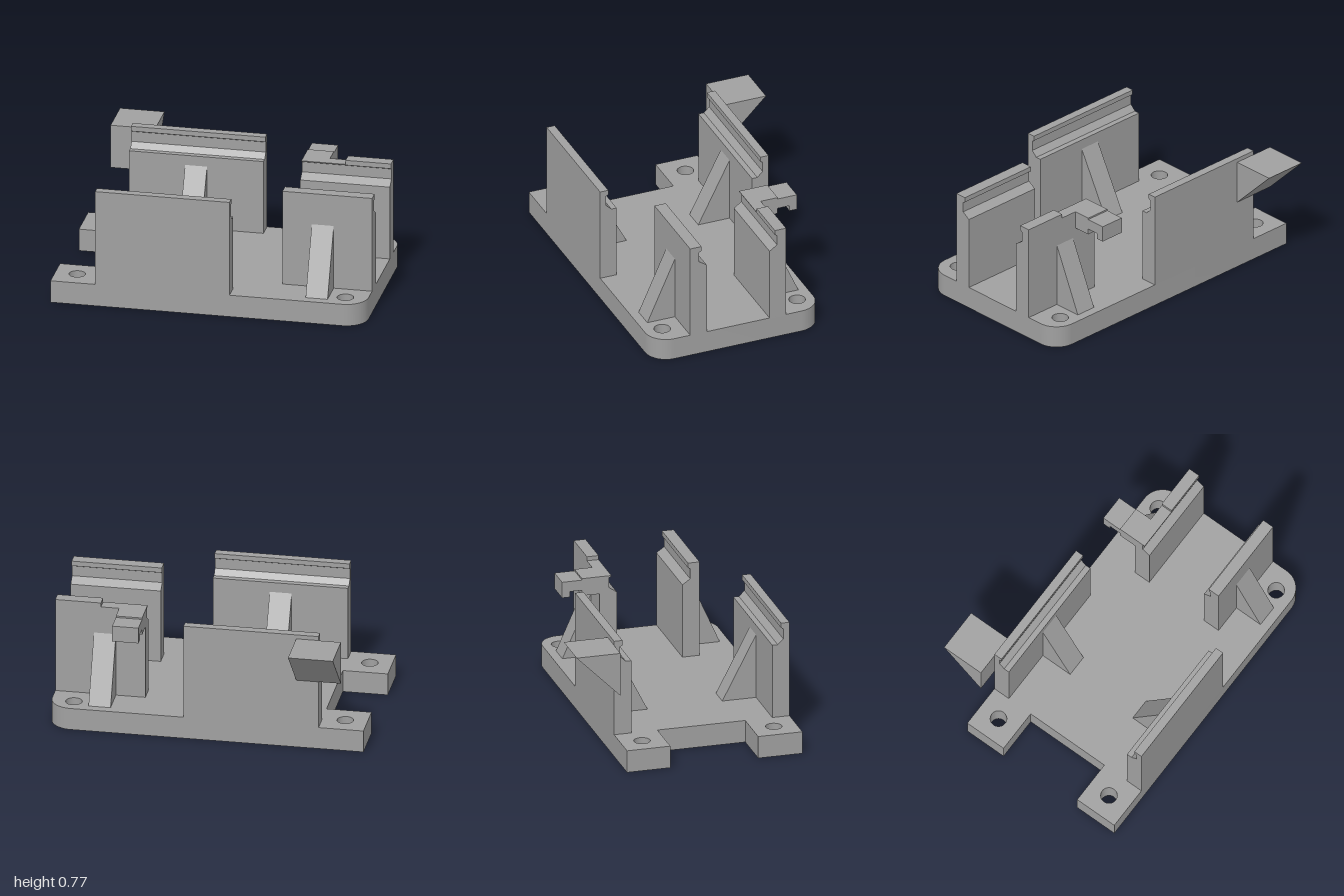
import * as THREE from 'three';
import { toCreasedNormals } from 'three/addons/utils/BufferGeometryUtils.js';

export function createModel() {
  const model = new THREE.Group();
  const plastic = new THREE.MeshStandardMaterial({ color: 0xa0a0a0 });
  plastic.name = 'grey plastic';

  const BASE_TOP = 0.145;

  function add(name, geometry) {
    const mesh = new THREE.Mesh(geometry, plastic);
    mesh.name = name;
    model.add(mesh);
  }

  // Extrudes a [z, y] outline along x from x0 to x1
  function prism(name, outline, x0, x1) {
    const shape = new THREE.Shape(outline.map(([z, y]) => new THREE.Vector2(z, y)));
    const geometry = new THREE.ExtrudeGeometry(shape, { depth: x1 - x0, bevelEnabled: false });
    geometry.rotateY(-Math.PI / 2).translate(x1, 0, 0);
    add(name, geometry);
  }

  // Base plate with a notch, two rounded corners and four screw holes
  const r = 0.14;
  const plate = new THREE.Shape();
  plate.moveTo(-1, -0.715);
  plate.lineTo(1 - r, -0.715);
  plate.absarc(1 - r, -0.715 + r, r, -Math.PI / 2, 0, false);
  plate.lineTo(1, 0.427 - r);
  plate.absarc(1 - r, 0.427 - r, r, 0, Math.PI / 2, false);
  plate.lineTo(-1, 0.427);
  plate.lineTo(-1, 0.145);
  plate.lineTo(-0.715, 0.145);
  plate.lineTo(-0.715, -0.427);
  plate.lineTo(-1, -0.427);
  plate.closePath();
  for (const [x, z] of [[-0.86, -0.288], [-0.86, 0.57], [0.857, -0.317], [0.857, 0.598]]) {
    const hole = new THREE.Path();
    hole.absarc(x, -z, 0.052, 0, Math.PI * 2, true);
    plate.holes.push(hole);
  }
  const plateGeometry = new THREE.ExtrudeGeometry(plate, { depth: BASE_TOP, bevelEnabled: false, curveSegments: 16 });
  plateGeometry.rotateX(-Math.PI / 2);
  add('basePlate', toCreasedNormals(plateGeometry, 0.6));

  // Wall outline: outer face at z, inner side towards dir, with a ledge and a snap lip
  function wallOutline(z, dir, lip, top = 0.772, ledge = true) {
    const groove = lip - 0.015;
    const points = [[0, BASE_TOP - 0.01], [0.112, BASE_TOP - 0.01], [0.112, 0.63]];
    if (ledge) points.push([groove + 0.036, 0.63]);
    points.push([groove, 0.665], [groove, 0.732], [lip, 0.74], [lip, top], [0, top]);
    return points.map(([d, y]) => [z + dir * d, y]);
  }

  // Triangular rib leaning on a wall face at z
  function rib(name, z, foot, x) {
    prism(name, [[z, BASE_TOP], [foot, BASE_TOP], [z, 0.565]], x - 0.07, x + 0.07);
  }

  // Long walls on the right half, ribbed on the inside
  prism('frontLongWall', wallOutline(0.715, -1, 0.055), -0.715, 0.142);
  prism('backLongWall', wallOutline(-0.427, 1, 0.055), -0.715, 0.142);
  rib('frontLongWallRib', 0.603, 0.383, -0.288);
  rib('backLongWallRib', -0.315, -0.103, -0.288);

  // Short walls on the left half, ribbed on the outside
  prism('frontShortWall', wallOutline(0.468, -1, 0.076, 0.772, false), 0.428, 1);
  prism('backShortWall', wallOutline(-0.182, 1, 0.076, 0.772, false), 0.71, 1);
  prism('backShortWallLowered', wallOutline(-0.182, 1, 0.076, 0.745, false), 0.428, 0.71);
  rib('frontShortWallRib', 0.468, 0.655, 0.685);
  rib('backShortWallRib', -0.182, -0.37, 0.685);

  // Wedge standing out behind the back long wall
  prism('backWedge', [[-0.427, 0.745], [-0.713, 0.745], [-0.427, 0.46]], -0.857, -0.573);

  // Hooked arm behind the back short wall
  prism('hookArm', [
    [-0.182, 0.63], [-0.182, 0.745], [-0.297, 0.745], [-0.297, 0.735], [-0.427, 0.735],
    [-0.427, 0.63], [-0.377, 0.63], [-0.377, 0.667], [-0.297, 0.667], [-0.297, 0.63],
  ], 0.428, 0.595);

  return model;
}
